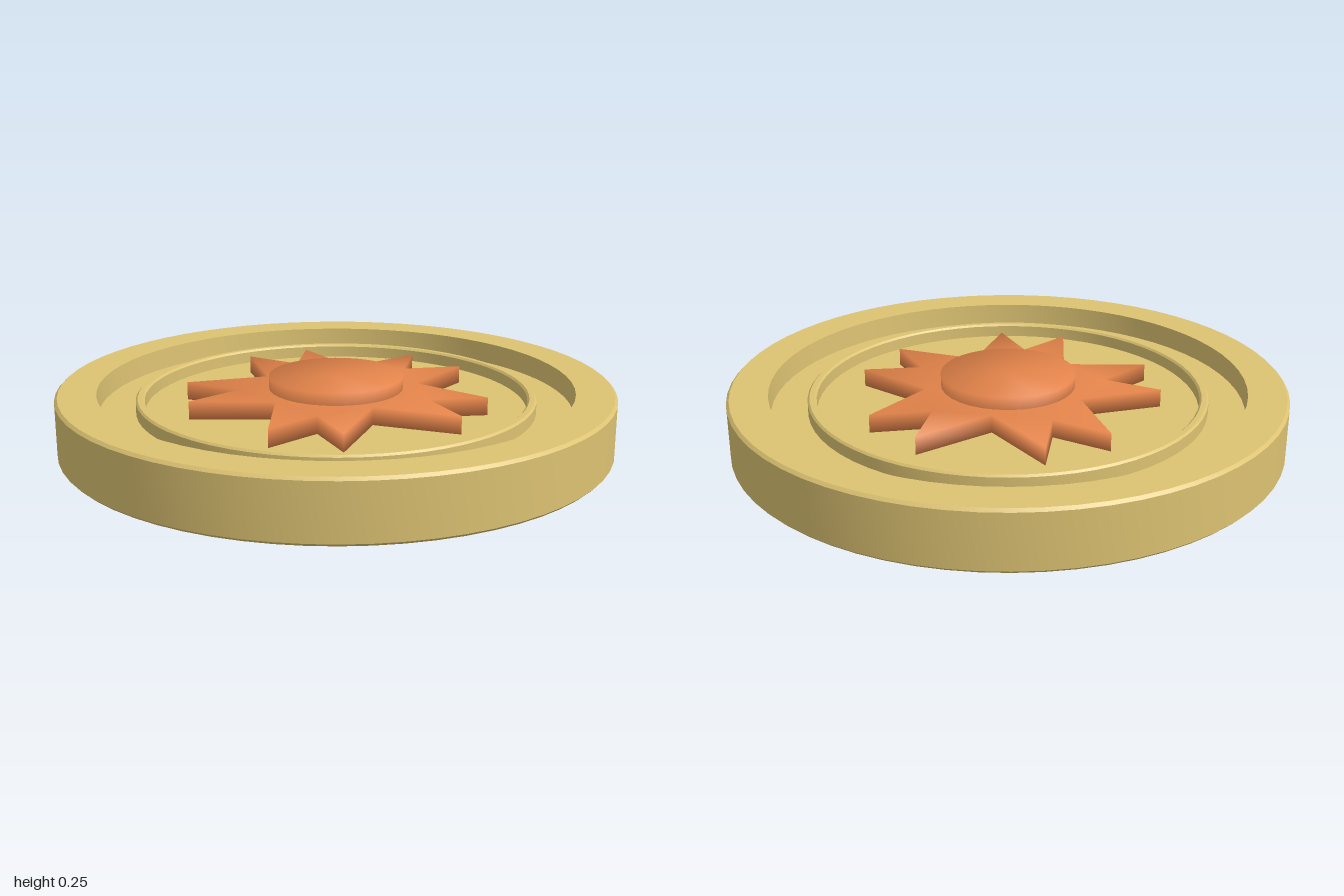
import * as THREE from 'three';
import { mergeVertices, toCreasedNormals } from 'three/addons/utils/BufferGeometryUtils.js';

const FLOOR = 0.135; // height of the recessed face

export function createModel() {
  const group = new THREE.Group();
  const gold = new THREE.MeshStandardMaterial({ color: 0xdcc272 });
  gold.name = 'pale gold';
  const copper = new THREE.MeshStandardMaterial({ color: 0xe2834a });
  copper.name = 'copper orange';

  const add = (name, geometry, material, y = 0) => {
    const mesh = new THREE.Mesh(geometry, material);
    mesh.name = name;
    mesh.position.y = y;
    group.add(mesh);
  };
  const lathe = (points) => toCreasedNormals(
    new THREE.LatheGeometry(points.map(([r, y]) => new THREE.Vector2(r, y)), 64), 0.6);
  // Shared corners give the soft shading of a cast relief
  const soften = (geometry) => {
    geometry.deleteAttribute('normal');
    geometry.deleteAttribute('uv');
    const merged = mergeVertices(geometry, 1e-4);
    merged.computeVertexNormals();
    return merged;
  };

  // Disc with a raised rim and a recessed face
  add('disc', lathe([
    [0, 0], [0.99, 0], [1, 0.01], [1, 0.205], [0.99, 0.215],
    [0.855, 0.215], [0.852, FLOOR], [0, FLOOR],
  ]), gold);

  // Thin raised ring on the recessed face
  add('innerRing', lathe([
    [0.72, FLOOR - 0.005], [0.72, 0.178], [0.713, 0.185],
    [0.695, 0.185], [0.688, 0.178], [0.688, FLOOR - 0.005],
  ]), gold);

  // Irregular ten-pointed sun: tips and notches as x, z
  const outline = [
    [0, -0.556], [0.08, -0.353], [0.24, -0.5], [0.22, -0.2], [0.524, -0.176],
    [0.36, -0.04], [0.55, 0.07], [0.246, 0.144], [0.32, 0.443], [0.14, 0.33],
    [0.09, 0.54], [-0.07, 0.278], [-0.326, 0.44], [-0.27, 0.225], [-0.49, 0.25],
    [-0.29, 0.02], [-0.525, -0.18], [-0.305, -0.19], [-0.4, -0.39], [-0.11, -0.27],
  ];
  const star = new THREE.Shape(outline.map(([x, z]) => new THREE.Vector2(x, -z)));
  const rays = new THREE.ExtrudeGeometry(star, { depth: 0.07, bevelEnabled: false });
  rays.rotateX(-Math.PI / 2);
  add('sunRays', soften(rays), copper, FLOOR - 0.005);

  // Round centre of the sun
  add('sunCentre', soften(new THREE.CylinderGeometry(0.243, 0.243, 0.1, 32)), copper, 0.195);

  return group;
}
